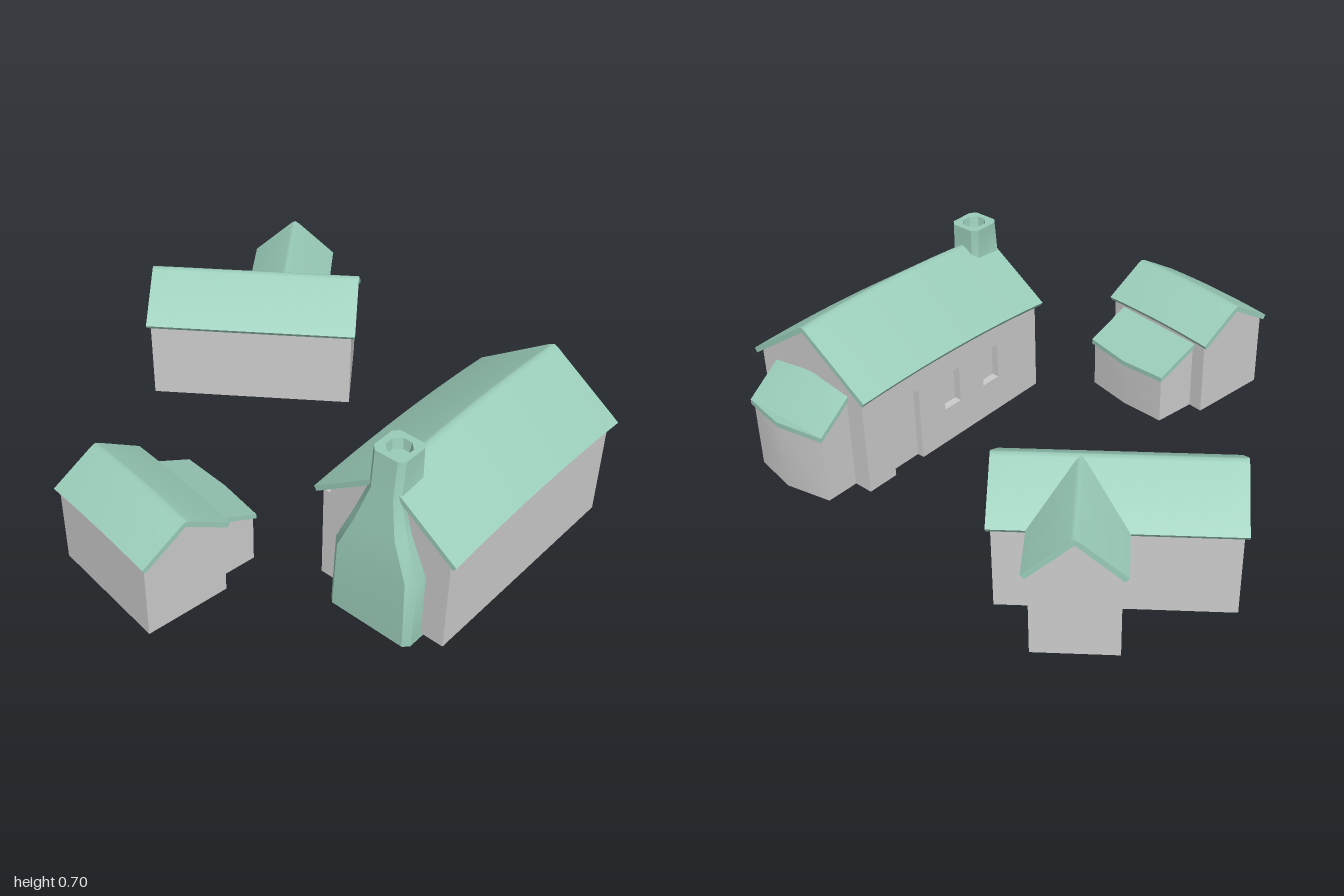
import * as THREE from 'three';
import { toCreasedNormals } from 'three/addons/utils/BufferGeometryUtils.js';

const wallMat = new THREE.MeshStandardMaterial({ color: 0xcccccc, side: THREE.DoubleSide });
const roofMat = new THREE.MeshStandardMaterial({ color: 0x9accb9, side: THREE.DoubleSide });

const polygon = (pts) => new THREE.Shape(pts.map(([x, y]) => new THREE.Vector2(x, y)));

function part(name, geometry, material, crease = 1.35) {
  const mesh = new THREE.Mesh(toCreasedNormals(geometry, crease), material);
  mesh.name = name;
  return mesh;
}

function moveVertices(geometry, rule) {
  const p = geometry.attributes.position;
  const v = new THREE.Vector3();
  for (let i = 0; i < p.count; i++) {
    rule(v.fromBufferAttribute(p, i));
    p.setXYZ(i, v.x, v.y, v.z);
  }
  return geometry;
}

// Removes the floor so the walls are an open shell
function openBottom(geometry, y0) {
  const p = geometry.attributes.position;
  const kept = [];
  for (let i = 0; i < p.count; i += 3) {
    if (Math.max(p.getY(i), p.getY(i + 1), p.getY(i + 2)) < y0 + 0.001) continue;
    for (let k = i; k < i + 3; k++) kept.push(p.getX(k), p.getY(k), p.getZ(k));
  }
  return new THREE.BufferGeometry().setAttribute('position', new THREE.Float32BufferAttribute(kept, 3));
}

// Gabled block with its ridge along z; bend(t) lifts the roof along its length
function gabled(name, o) {
  const { halfWidth: w, halfLength: l, ridge, eave, base, inset = 0.02, bend = () => 0 } = o;
  const slope = (ridge - eave) / w;
  const n = Math.hypot(1, slope);
  const t = 0.02, dx = (t * slope) / n, dy = t / n;
  const extrude = (pts, half) => new THREE.ExtrudeGeometry(polygon(pts), { depth: 2 * half, steps: 10, bevelEnabled: false })
    .translate(0, 0, -half);
  const group = new THREE.Group();
  group.name = name;

  const r = 0.015;
  const roof = extrude([
    [-w + dx, eave - dy], [0, ridge - t * n], [w - dx, eave - dy],
    [w, eave], [r, ridge - r * slope], [0, ridge - r * slope * 0.4], [-r, ridge - r * slope], [-w, eave],
  ], l);
  group.add(part('roof', moveVertices(roof, (v) => { v.y += bend(v.z / l); }), roofMat));

  const x0 = -(w - inset), x1 = o.rightWall ?? w - inset;
  const under = (x) => ridge - t * n * 0.8 - slope * Math.abs(x);
  const walls = extrude([[x0, base], [x1, base], [x1, under(x1)], [0, under(0)], [x0, under(x0)]], l - 0.015);
  moveVertices(walls, (v) => { if (v.y > base + 0.1) v.y += bend(v.z / l); });
  group.add(part('walls', openBottom(walls, base), wallMat, 0.6));
  return group;
}

// Prism over a plan of [x, z] corners, between two height rules
function prism(plan, bottom, top) {
  const g = new THREE.ExtrudeGeometry(polygon(plan.map(([x, z]) => [x, -z])), { depth: 1, bevelEnabled: false });
  g.rotateX(-Math.PI / 2);
  return moveVertices(g, (v) => { v.y = v.y > 0.5 ? top(v.x, v.z) : bottom(v.x, v.z); });
}

function leanTo(name, wallPlan, roofPlan, base, height) {
  const group = new THREE.Group();
  group.name = name;
  const under = (x, z) => height(x, z) - 0.02;
  group.add(
    part('leanToRoof', prism(roofPlan, under, height), roofMat, 0.7),
    part('leanToWalls', openBottom(prism(wallPlan, () => base, under), base), wallMat, 0.7),
  );
  return group;
}

// Loft through chamfered rectangles [y, x0, x1, z0, z1, chamfer]
function loft(rings) {
  const pos = [], index = [];
  for (const [y, x0, x1, z0, z1, c] of rings) {
    for (const [x, z] of [[x1, z1 - c], [x1, z0 + c], [x1 - c, z0], [x0 + c, z0],
      [x0, z0 + c], [x0, z1 - c], [x0 + c, z1], [x1 - c, z1]]) pos.push(x, y, z);
  }
  for (let r = 0; r < rings.length - 1; r++) {
    for (let i = 0; i < 8; i++) {
      const a = r * 8 + i, b = r * 8 + (i + 1) % 8;
      index.push(a, b, b + 8, a, b + 8, a + 8);
    }
  }
  const g = new THREE.BufferGeometry();
  g.setAttribute('position', new THREE.Float32BufferAttribute(pos, 3));
  g.setIndex(index);
  return g;
}

function longHouse() {
  const group = new THREE.Group();
  group.name = 'longHouse';
  const hall = gabled('hall', {
    halfWidth: 0.295, halfLength: 0.48, ridge: 0.645, eave: 0.44, base: 0.02, inset: 0.03, rightWall: 0.235,
    bend: (t) => -0.02 * t * t + 0.01 * t,
  });
  hall.position.set(0.18, 0, 0.7);
  hall.rotation.y = Math.PI / 2;

  // Back wall with a doorway and two windows
  const back = polygon([[-0.465, 0.02], [0.19, 0.02], [0.19, 0.33], [0.335, 0.33], [0.335, 0.02],
    [0.465, 0.02], [0.465, 0.415], [-0.465, 0.405]]);
  for (const u of [-0.24, -0.025]) {
    back.holes.push(new THREE.Path([[u, 0.17], [u, 0.32], [u + 0.085, 0.32], [u + 0.085, 0.17]]
      .map(([x, y]) => new THREE.Vector2(x, y))));
  }
  const panel = new THREE.ExtrudeGeometry(back, { depth: 0.03, bevelEnabled: false });
  panel.rotateY(-Math.PI / 2).translate(0.265, 0, 0);
  hall.add(part('backWall', panel, wallMat, 0.6));

  // Porch with a pointed end
  const porchPlan = (i) => [[0.63, 0.505 + i], [0.785 - i, 0.505 + i], [0.822 - i, 0.7],
    [0.785 - i, 0.89 - i], [0.63, 0.89 - i], [0.63, 0.7]];
  const porch = leanTo('porch', porchPlan(0.008), porchPlan(0), 0.02,
    (x, z) => 0.41 - 0.75 * (x - 0.65) + 0.03 * (1 - Math.abs(z - 0.7) / 0.19));

  // Tapering chimney stack with a hollow top
  const chimney = loft([
    [0, -0.362, -0.12, 0.53, 0.875, 0.02],
    [0.28, -0.358, -0.13, 0.53, 0.875, 0.03],
    [0.42, -0.34, -0.15, 0.585, 0.81, 0.03],
    [0.56, -0.315, -0.165, 0.635, 0.765, 0.02],
    [0.7, -0.298, -0.165, 0.63, 0.762, 0.02],
    [0.7, -0.275, -0.19, 0.655, 0.74, 0.025],
    [0.66, -0.27, -0.195, 0.66, 0.735, 0.025],
    [0.66, -0.233, -0.233, 0.697, 0.697, 0],
  ]);
  group.add(hall, porch, part('chimney', chimney, roofMat, 0.7));
  return group;
}

function crossHouse() {
  const group = new THREE.Group();
  group.name = 'crossHouse';
  const wing = gabled('wing', { halfWidth: 0.165, halfLength: 0.21, ridge: 0.53, eave: 0.38, base: 0.045 });
  wing.position.set(0.21, 0, 0.122);
  wing.rotation.y = Math.PI / 2;
  group.add(gabled('mainBlock', { halfWidth: 0.215, halfLength: 0.415, ridge: 0.53, eave: 0.38, base: 0.045 }), wing);
  group.position.set(0.422, 0, -0.539);
  group.rotation.y = 0.64;
  return group;
}

function cottage() {
  const group = new THREE.Group();
  group.name = 'cottage';
  const plan = (i) => [[0.14, -0.195 + i], [0.34 - i, -0.19 + i], [0.355 - i, 0],
    [0.34 - i, 0.195 - i], [0.14, 0.195 - i]];
  group.add(
    gabled('cottageBlock', {
      halfWidth: 0.178, halfLength: 0.26, ridge: 0.475, eave: 0.365, base: 0.045, inset: 0.015,
      bend: (t) => -0.008 * t * t,
    }),
    leanTo('leanTo', plan(0.008), plan(0), 0.045, (x) => 0.33 - 0.45 * (x - 0.17)),
  );
  group.position.set(-0.72, 0, 0);
  group.rotation.y = -0.135;
  return group;
}

export function createModel() {
  const model = new THREE.Group();
  model.name = 'hamlet';
  model.add(longHouse(), crossHouse(), cottage());
  return model;
}
